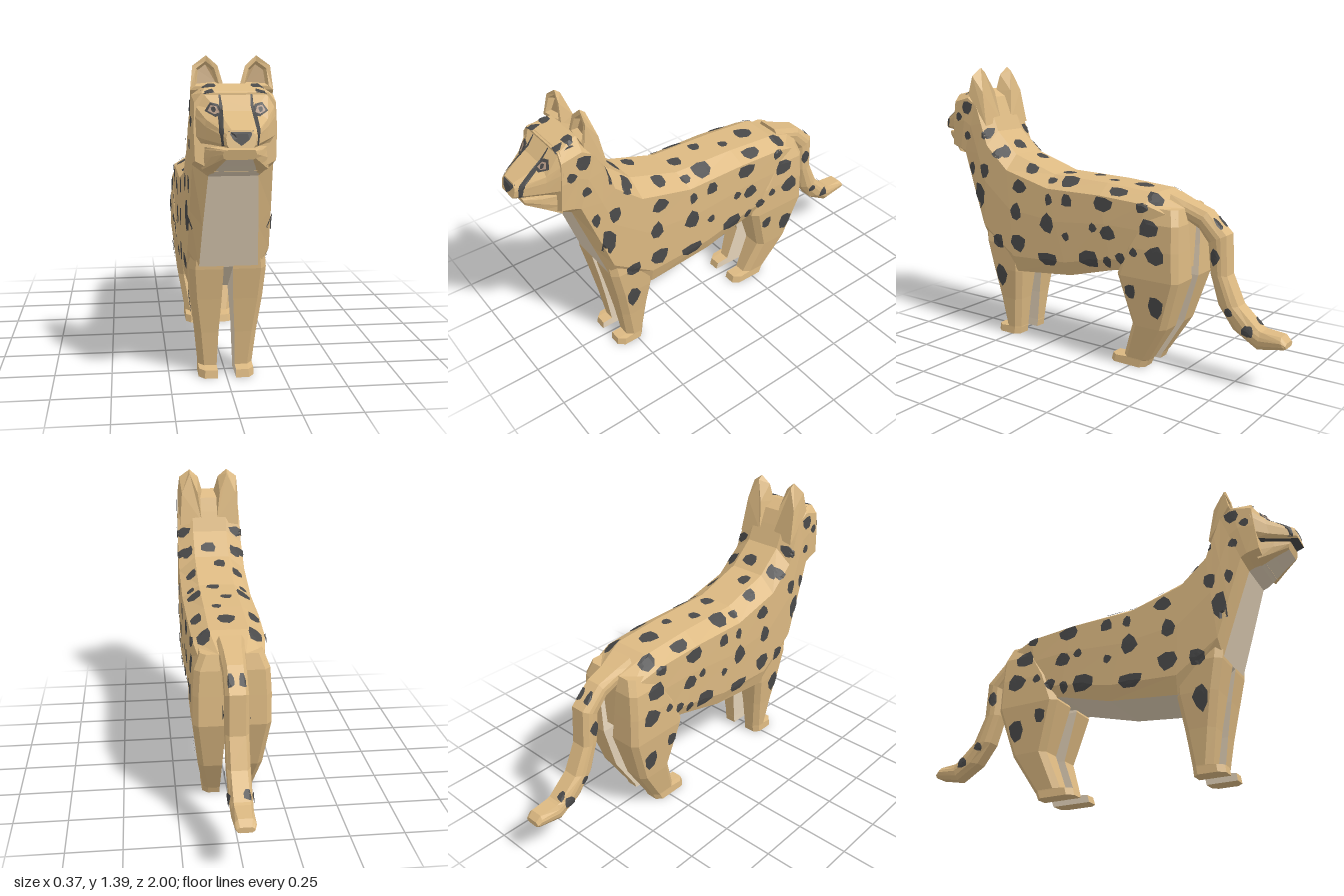
import * as THREE from 'three';

const TAN = 0xdcb982, CREAM = 0xe3d2b8, DARK = 0x4a4a4a, INNER = 0xb39468, IRIS = 0xb59a86;
const material = (color) => new THREE.MeshStandardMaterial({ color, flatShading: true });

function meshFrom(name, positions, color) {
  const g = new THREE.BufferGeometry();
  g.setAttribute('position', new THREE.Float32BufferAttribute(positions, 3));
  g.computeVertexNormals();
  const mesh = new THREE.Mesh(g, material(color));
  mesh.name = name;
  return mesh;
}

// Closed loft through rings of [x,y,z]; the strip between last and first ring point takes `under`
function loft(name, rings, under = TAN, capColor = TAN) {
  const tris = [], n = rings[0].length;
  for (let i = 0; i < rings.length - 1; i++) {
    for (let j = 0; j < n; j++) {
      const k = (j + 1) % n, c = j === n - 1 ? under : TAN;
      const [a, b, d, e] = [rings[i][j], rings[i][k], rings[i + 1][k], rings[i + 1][j]];
      tris.push([a, b, d, c], [a, d, e, c]);
    }
  }
  const first = rings[0], last = rings[rings.length - 1];
  for (let j = 1; j < n - 1; j++) {
    tris.push([first[0], first[j + 1], first[j], capColor], [last[0], last[j], last[j + 1], TAN]);
  }
  // Face outwards whichever way the rings run
  const v = (p) => new THREE.Vector3(...p);
  let volume = 0;
  for (const [a, b, c] of tris) volume += v(a).dot(v(b).cross(v(c)));
  const byColor = new Map();
  for (const [a, b, c, color] of tris) {
    if (!byColor.has(color)) byColor.set(color, []);
    byColor.get(color).push(...a, ...(volume > 0 ? b : c), ...(volume > 0 ? c : b));
  }
  const group = new THREE.Group();
  group.name = name;
  for (const [color, pos] of byColor) group.add(meshFrom(name + (color === TAN ? 'Coat' : 'Pale'), pos, color));
  return group;
}

// Bevelled section from top (z,y) to bottom (z,y) with top, side and bottom half-widths
function section([tz, ty, bz, by, wt, ws, wb], upper = 0.12, lower = 0.86) {
  const half = [[wb, 1], [ws, lower], [ws + 0.004, 0.45], [ws, upper], [wt, 0]];
  const at = (s) => ([w, t]) => [s * w, ty + (by - ty) * t, tz + (bz - tz) * t];
  return [...half.map(at(-1)), ...half.reverse().map(at(1))];
}

// Horizontal leg section with bevelled outer corners; the inner side closes the ring
const legRing = (s) => ([y, zb, zf, xi, xo]) =>
  [[xi, zf], [xo - 0.025, zf], [xo, zf - 0.03], [xo, zb + 0.025], [xo - 0.025, zb], [xi, zb]].map(([x, z]) => [s * x, y, z]);

function createModel() {
  const model = new THREE.Group();
  model.name = 'spottedCat';

  model.add(loft('body', [
    [-0.50, 0.79, -0.50, 0.50, 0.06, 0.14, 0.10],
    [-0.36, 0.85, -0.30, 0.48, 0.09, 0.165, 0.14],
    [-0.10, 0.87, -0.18, 0.47, 0.09, 0.172, 0.15],
    [0.22, 0.88, 0.08, 0.40, 0.09, 0.175, 0.15],
    [0.47, 0.96, 0.42, 0.365, 0.09, 0.175, 0.15],
    [0.59, 1.07, 0.635, 0.51, 0.09, 0.172, 0.125],
    [0.63, 1.17, 0.70, 0.70, 0.09, 0.168, 0.115],
    [0.66, 1.24, 0.775, 0.92, 0.09, 0.162, 0.10],
    [0.72, 1.28, 0.80, 0.93, 0.10, 0.163, 0.10],
    [0.82, 1.25, 0.85, 0.95, 0.13, 0.158, 0.08],
  ].map((r) => section(r)), CREAM));

  model.add(loft('muzzle', [
    [0.81, 1.255, 0.83, 1.06, 0.13, 0.158, 0.14],
    [0.87, 1.185, 0.89, 1.06, 0.07, 0.118, 0.10],
    [0.985, 1.125, 1.0, 1.06, 0.035, 0.052, 0.045],
  ].map((r) => section(r, 0.25)), DARK));
  model.add(loft('jaw', [
    [0.82, 1.045, 0.83, 0.94, 0.13, 0.13, 0.085],
    [0.90, 1.048, 0.89, 0.975, 0.09, 0.095, 0.07],
    [0.965, 1.048, 0.955, 1.01, 0.055, 0.06, 0.05],
  ].map((r) => section(r)), CREAM));

  model.add(loft('tail', [
    [-0.42, 0.845, -0.44, 0.70, 0.05, 0.07, 0.04],
    [-0.50, 0.815, -0.50, 0.73, 0.04, 0.055, 0.03],
    [-0.60, 0.78, -0.56, 0.70, 0.035, 0.05, 0.03],
    [-0.70, 0.685, -0.61, 0.64, 0.035, 0.05, 0.03],
    [-0.71, 0.50, -0.625, 0.50, 0.035, 0.05, 0.03],
    [-0.77, 0.37, -0.67, 0.36, 0.035, 0.05, 0.03],
    [-0.87, 0.28, -0.745, 0.26, 0.035, 0.048, 0.03],
    [-0.885, 0.275, -0.865, 0.19, 0.035, 0.045, 0.03],
    [-0.975, 0.27, -0.99, 0.215, 0.03, 0.042, 0.03],
    [-1.0, 0.245, -1.0, 0.22, 0.025, 0.035, 0.025],
  ].map((r) => section(r, 0.25, 0.75))));

  // Legs and ears, mirrored
  for (const s of [1, -1]) {
    const side = s > 0 ? 'left' : 'right';
    model.add(loft(side + 'FrontLeg', [
      [0.60, 0.43, 0.645, 0.02, 0.155], [0.50, 0.41, 0.635, 0.02, 0.165],
      [0.36, 0.41, 0.605, 0.025, 0.155], [0.20, 0.435, 0.575, 0.035, 0.135],
      [0.04, 0.455, 0.55, 0.04, 0.12], [0.035, 0.455, 0.60, 0.04, 0.12], [0, 0.46, 0.605, 0.04, 0.122],
    ].map(legRing(s)), CREAM));
    model.add(loft(side + 'HindLeg', [
      [0.79, -0.50, -0.37, 0.06, 0.14], [0.72, -0.52, -0.32, 0.055, 0.168],
      [0.60, -0.525, -0.25, 0.045, 0.176], [0.46, -0.53, -0.20, 0.03, 0.177],
      [0.22, -0.455, -0.27, 0.04, 0.15], [0.04, -0.345, -0.205, 0.04, 0.12],
      [0.035, -0.34, -0.14, 0.04, 0.12], [0, -0.325, -0.13, 0.04, 0.122],
    ].map(legRing(s)), CREAM));

    const front = [[0.03, 1.265, 0.71], [0.055, 1.35, 0.70], [0.10, 1.39, 0.69], [0.155, 1.35, 0.70], [0.166, 1.255, 0.72]];
    const back = [[0.04, 1.12, 0.615], [0.06, 1.27, 0.635], [0.10, 1.37, 0.665], [0.145, 1.27, 0.64], [0.158, 1.10, 0.61]];
    const shrink = (k, dz) => front.map(([x, y, z]) => [0.102 + (x - 0.102) * k, 1.31 + (y - 1.31) * k, z + dz]);
    const rows = [shrink(0.55, -0.025), shrink(0.72, 0), front, back];
    model.add(loft(side + 'Ear', rows.map((r) => r.map(([x, y, z]) => [s * x, y, z])), TAN, INNER));
  }

  // Markings: flat outlines projected onto the coat along one axis
  model.updateMatrixWorld(true);
  const coat = [...model.children];
  const ray = new THREE.Raycaster();
  const place = { x: (u, v, d) => [d, v, u], y: (u, v, d) => [u, d, v], z: (u, v, d) => [u, v, d] };
  function decal(out, points, axis, sign, lift = 0.006) {
    const dir = new THREE.Vector3(...place[axis](0, 0, -sign));
    const depthAt = ([u, v]) => {
      ray.set(new THREE.Vector3(...place[axis](u, v, sign * 3)), dir);
      const hit = ray.intersectObjects(coat, true)[0];
      return hit ? hit.point[axis] : null;
    };
    const mid = (a, b) => [(a[0] + b[0]) / 2, (a[1] + b[1]) / 2];
    const c = points.reduce((a, p) => [a[0] + p[0] / points.length, a[1] + p[1] / points.length], [0, 0]);
    const base = depthAt(c);
    if (base === null) return;
    const lay = (p) => {
      const d = depthAt(p);
      const near = d !== null && Math.abs(d - base) < 0.09;
      return new THREE.Vector3(...place[axis](p[0], p[1], (near ? d : base) + sign * lift));
    };
    points.forEach((a, i) => {
      const b = points[(i + 1) % points.length], ma = mid(c, a), mb = mid(c, b);
      for (const t of [[c, ma, mb], [ma, a, b], [ma, b, mb]]) {
        const [p, q, r] = t.map(lay);
        const flip = q.clone().sub(p).cross(r.clone().sub(p)).dot(dir) > 0;
        for (const w of flip ? [p, r, q] : [p, q, r]) out.push(w.x, w.y, w.z);
      }
    });
  }
  const blob = (u, v, ru, rv, seed) => Array.from({ length: 7 }, (_, i) => {
    const a = (i / 7) * Math.PI * 2 + seed, k = 1 + 0.13 * Math.sin(seed * 7 + i * 2.6);
    return [u + Math.cos(a) * ru * k, v + Math.sin(a) * rv * k];
  });

  // Flank spots: z, y, radius, second radius
  const flank = [
    [.73, 1.19, .035], [.79, 1.14, .023], [.73, 1.045, .023], [.61, 1.06, .018, .03], [.53, .97, .028], [.70, .88, .02, .035],
    [.61, .875, .03, .04], [.65, .74, .035, .07], [.375, .815, .045, .035], [.40, .685, .035, .045], [.53, .515, .04],
    [.39, .525, .05, .045], [.53, .33, .037, .06], [.19, .77, .022, .03], [.08, .777, .033], [.2, .65, .042, .05],
    [.085, .6, .022], [.2, .47, .065, .035], [-.13, .785, .055, .036], [-.075, .665, .023], [-.16, .65, .042, .036],
    [-.05, .51, .06, .045], [-.155, .51, .023, .03], [-.23, .54, .028], [-.34, .79, .033, .024], [-.38, .70, .053, .042],
    [-.305, .58, .022], [-.42, .58, .05, .045], [-.285, .39, .03, .038], [-.42, .335, .04, .055],
    [-.655, .585, .025, .04], [-.73, .34, .022], [-.825, .27, .03, .028],
  ];
  // Back spots: x, z, radii; `pairs` are mirrored
  const spine = [[0, -.25, .043, .05], [.03, -.1, .025], [-.03, .03, .03], [.02, .18, .035], [-.035, .4, .033],
    [.015, .51, .042, .025], [-.025, -.85, .018], [-.025, -.655, .016, .025], [.025, -.655, .016, .025]];
  const pairs = [[.115, -.38, .033, .043], [.135, -.19, .028, .052], [.122, .1, .037, .052], [.133, .2, .02, .027],
    [.12, .34, .028, .036], [.125, .51, .028, .024], [.095, .755, .03, .022]];
  const spots = [];
  for (const s of [1, -1]) {
    flank.forEach(([z, y, a, b = a], i) => decal(spots, blob(z, y, a, b, i * 1.3), 'x', s));
    pairs.forEach(([x, z, a, b]) => decal(spots, blob(s * x, z, a, b, s > 0 ? 0.4 : Math.PI - 0.4), 'y', 1));
  }
  spine.forEach(([x, z, a, b = a], i) => decal(spots, blob(x, z, a, b, i * 1.7), 'y', 1));
  model.add(meshFrom('spots', spots, DARK));

  // Face: nose, tear lines, brows and eyes
  const face = [], iris = [], pupils = [];
  decal(face, [[-.048, 1.122], [.048, 1.122], [.03, 1.09], [0, 1.068], [-.03, 1.09]], 'z', 1);
  for (const s of [1, -1]) {
    const line = [[.062, 1.245, .003], [.06, 1.205, .006], [.066, 1.165, .009], [.07, 1.12, .008], [.066, 1.065, .005]];
    for (let i = 0; i < line.length - 1; i++) {
      const [[x, y, w], [X, Y, W]] = [line[i], line[i + 1]];
      decal(face, [[s * (x - w), y], [s * (x + w), y], [s * (X + W), Y], [s * (X - W), Y]], 'z', 1, 0.005);
    }
    decal(face, [[.055, 1.175], [.07, 1.21], [.10, 1.217], [.122, 1.185], [.085, 1.165]].map(([x, y]) => [s * x, y]), 'z', 1);
    decal(iris, [[.068, 1.182], [.078, 1.203], [.099, 1.207], [.111, 1.186], [.087, 1.174]].map(([x, y]) => [s * x, y]), 'z', 1, 0.011);
    decal(pupils, blob(s * 0.09, 1.192, 0.009, 0.011, 0), 'z', 1, 0.015);
    decal(face, [[.08, 1.252], [.125, 1.246], [.13, 1.256], [.085, 1.264]].map(([x, y]) => [s * x, y]), 'z', 1);
  }
  model.add(meshFrom('noseAndFaceLines', face, DARK), meshFrom('irises', iris, IRIS), meshFrom('pupils', pupils, DARK));
  return model;
}

export { createModel };
